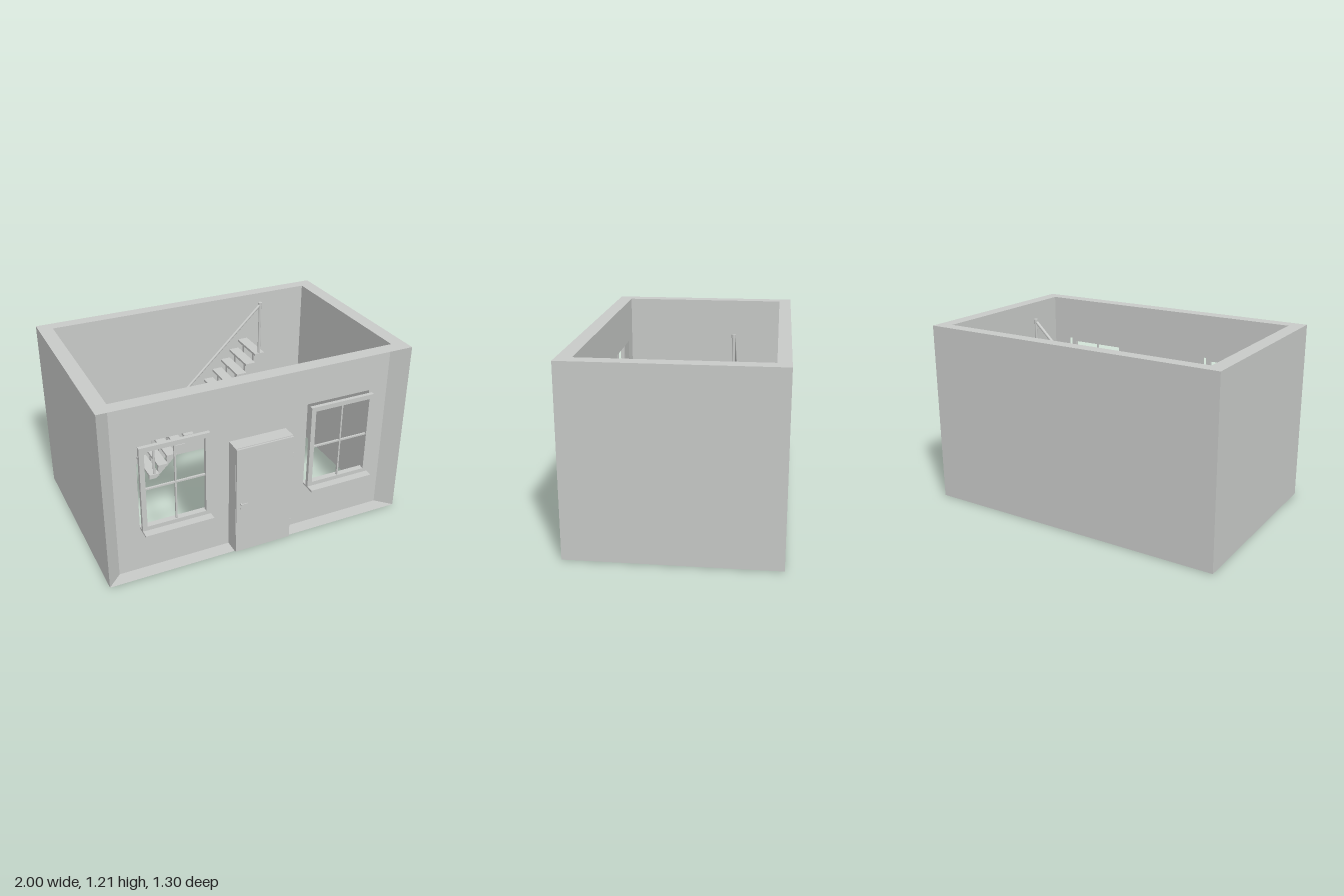
import * as THREE from 'three';

const H = 1.17, OX = 1, IX = 0.91, ZB = -0.65, ZBI = -0.57, ZFI = 0.53, ZF = 0.62;

export function createModel() {
  const root = new THREE.Group();
  const plaster = new THREE.MeshStandardMaterial({ color: 0xc8cac8, side: THREE.DoubleSide });
  plaster.name = 'pale grey';

  const add = (name, geo, parent = root) => {
    const m = new THREE.Mesh(geo, plaster);
    m.name = name;
    parent.add(m);
    return m;
  };
  // Box given by its limits on each axis
  const box = (name, x0, x1, y0, y1, z0, z1, parent) =>
    add(name, new THREE.BoxGeometry(x1 - x0, y1 - y0, z1 - z0), parent)
      .position.set((x0 + x1) / 2, (y0 + y1) / 2, (z0 + z1) / 2);
  const outline = (pts) => new THREE.Shape(pts.map(([x, y]) => new THREE.Vector2(x, y)));
  const rect = (x0, x1, y0, y1) => outline([[x0, y0], [x1, y0], [x1, y1], [x0, y1]]);
  // Flat horizontal plate from [x, z] points
  const plate = (name, pts, y) => {
    const g = new THREE.ShapeGeometry(outline(pts.map(([x, z]) => [x, -z])));
    g.rotateX(-Math.PI / 2);
    add(name, g).position.y = y;
  };
  // Upright prism from [x, z] points
  const prism = (name, pts) => {
    const g = new THREE.ExtrudeGeometry(outline(pts.map(([x, z]) => [x, -z])), { depth: H, bevelEnabled: false });
    g.rotateX(-Math.PI / 2);
    add(name, g);
  };

  // Back and side walls, mitred at the corners
  prism('backWall', [[-OX, ZB], [OX, ZB], [IX, ZBI], [-IX, ZBI]]);
  for (const s of [-1, 1]) {
    prism(s > 0 ? 'leftWall' : 'rightWall', [[s * OX, ZB], [s * OX, ZF], [s * IX, ZFI], [s * IX, ZBI]]);
  }

  // Front wall: inner skin with openings, top rim and split bottom rim
  const dx0 = -0.185, dx1 = 0.195, dTop = 0.75;
  const windows = [[-0.765, -0.33], [0.34, 0.78]], wy0 = 0.3, wy1 = 0.88;
  const skin = outline([[-IX, 0], [dx0, 0], [dx0, dTop], [dx1, dTop], [dx1, 0], [IX, 0], [IX, H], [-IX, H]]);
  for (const [a, b] of windows) skin.holes.push(rect(a, b, wy0, wy1));
  add('frontWall', new THREE.ShapeGeometry(skin)).position.z = ZFI;
  plate('frontWallTop', [[-OX, ZF], [OX, ZF], [IX, ZFI], [-IX, ZFI]], H);
  plate('frontWallBaseRight', [[-OX, ZF], [dx0, ZF], [dx0, ZFI], [-IX, ZFI]], 0);
  plate('frontWallBaseLeft', [[dx1, ZF], [OX, ZF], [IX, ZFI], [dx1, ZFI]], 0);

  // Windows: frame with one cross of glazing bars, on a deep sill
  for (const [a, b] of windows) {
    const win = new THREE.Group();
    win.name = 'window';
    root.add(win);
    const frame = rect(a, b, wy0, wy1);
    frame.holes.push(rect(a + 0.03, b - 0.03, 0.34, 0.85));
    add('windowFrame', new THREE.ExtrudeGeometry(frame, { depth: 0.025, bevelEnabled: false }), win).position.z = 0.56;
    const c = (a + b) / 2;
    box('verticalBar', c - 0.005, c + 0.005, 0.34, 0.85, 0.566, 0.579, win);
    box('crossBar', a + 0.03, b - 0.03, 0.592, 0.602, 0.566, 0.579, win);
    box('windowSill', a, b, wy0, 0.313, 0.513, 0.637, win);
  }

  // Door: lining around the opening, leaf, handle and hinges
  const door = new THREE.Group();
  door.name = 'door';
  root.add(door);
  const t = 0.008;
  box('doorJambRight', dx0, dx0 + t, 0, dTop, 0.525, 0.622, door);
  box('doorJambLeft', dx1 - t, dx1, 0, dTop, 0.525, 0.622, door);
  box('doorHead', dx0, dx1, dTop - t, dTop, 0.525, 0.622, door);
  box('doorLeaf', dx0 + 0.002, dx1 - 0.002, 0.003, 0.746, 0.62, 0.634, door);
  for (const [z0, z1, za, zb] of [[0.634, 0.652, 0.646, 0.652], [0.602, 0.62, 0.602, 0.608]]) {
    box('handleStem', -0.159, -0.151, 0.357, 0.365, z0, z1, door);
    box('handleLever', -0.159, -0.115, 0.357, 0.365, za, zb, door);
  }
  box('keyhole', -0.158, -0.152, 0.322, 0.336, 0.634, 0.637, door);
  for (const y of [0.125, 0.615]) {
    const hinge = add('hinge', new THREE.CylinderGeometry(0.004, 0.004, 0.03, 10), door);
    hinge.position.set(dx1, y, 0.63);
  }

  // Staircase: open treads on two sawtooth stringers
  const stairs = new THREE.Group();
  stairs.name = 'staircase';
  root.add(stairs);
  const n = 13, x0 = -0.4, run = 0.875 / n, rise = 0.065;
  const saw = [[-0.39, 0]];
  for (let i = 0; i < n; i++) {
    const y = rise * (i + 1);
    box('tread', x0 + run * i - 0.004, x0 + run * (i + 1), y - 0.016, y, -0.57, -0.3, stairs);
    saw.push([x0 + run * i + 0.01, y - 0.016], [x0 + run * (i + 1), y - 0.016]);
    if (i < n - 1) saw.push([x0 + run * (i + 1) + 0.01, y - 0.016]);
  }
  saw.push([0.475, 0.785], [-0.34, 0]);
  for (const z of [-0.52, -0.37]) {
    add('stringer', new THREE.ExtrudeGeometry(outline(saw), { depth: 0.025, bevelEnabled: false }), stairs).position.z = z;
  }

  // Handrail on a post at either end
  const zr = -0.313;
  for (const [x, y0, y1] of [[-0.365, 0.065, 0.445], [0.44, 0.845, 1.21]]) {
    const post = add('railPost', new THREE.CylinderGeometry(0.009, 0.009, y1 - y0, 12), stairs);
    post.position.set(x, (y0 + y1) / 2, zr);
    const cap = add('postCap', new THREE.CylinderGeometry(0.013, 0.013, 0.02, 12), stairs);
    cap.position.set(x, y1 - 0.006, zr);
  }
  const rail = new THREE.LineCurve3(new THREE.Vector3(-0.365, 0.435, zr), new THREE.Vector3(0.44, 1.2, zr));
  add('handrail', new THREE.TubeGeometry(rail, 1, 0.01, 10), stairs);

  return root;
}
